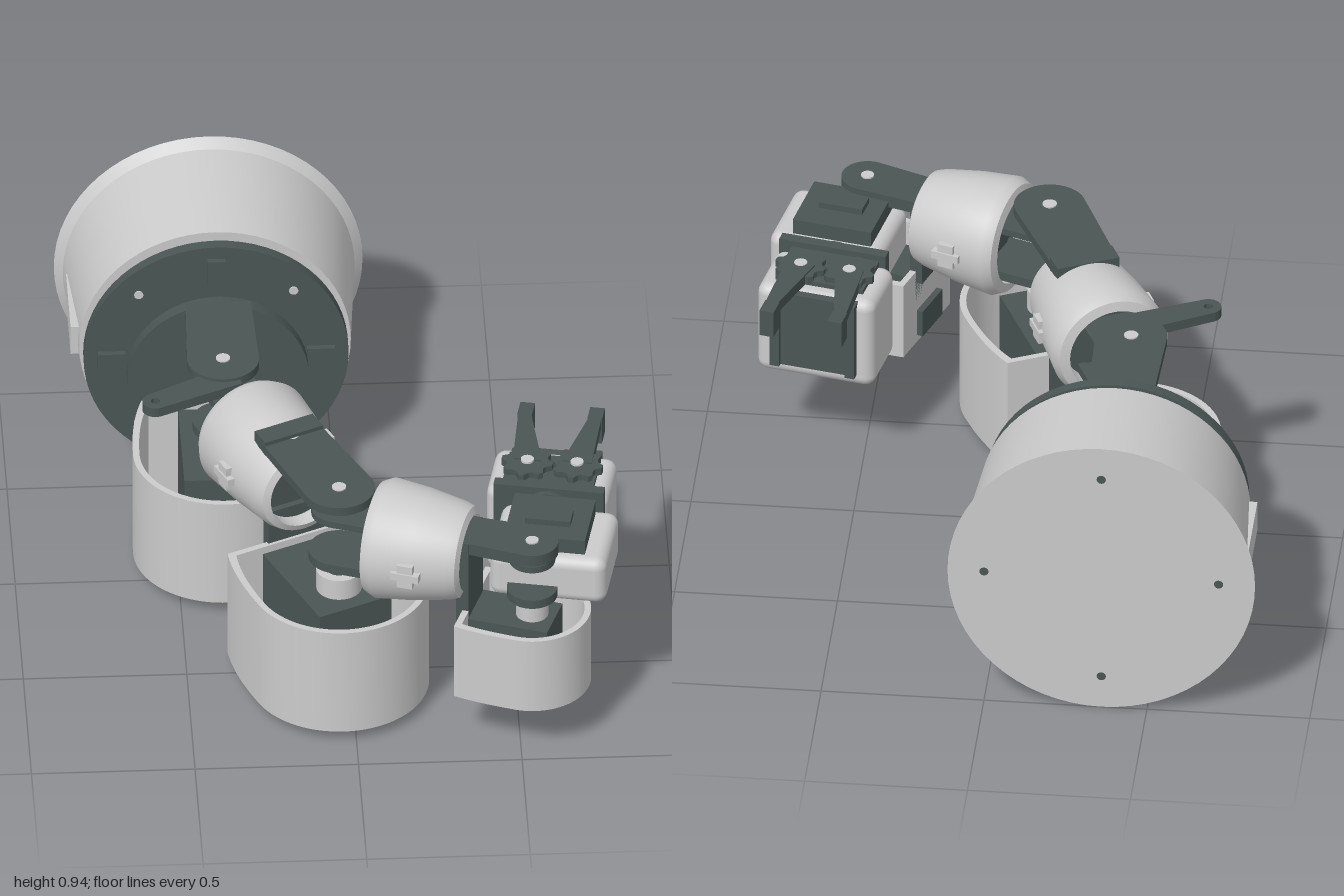
import * as THREE from 'three';
import { toCreasedNormals } from 'three/addons/utils/BufferGeometryUtils.js';
import { RoundedBoxGeometry } from 'three/addons/geometries/RoundedBoxGeometry.js';

const light = new THREE.MeshStandardMaterial({ color: 0xcccccc });
const dark = new THREE.MeshStandardMaterial({ color: 0x4a5654 });

function add(parent, name, geo, mat, x = 0, y = 0, z = 0) {
  const m = new THREE.Mesh(geo, mat);
  m.name = name;
  m.position.set(x, y, z);
  parent.add(m);
  return m;
}
const box = (p, name, mat, w, h, d, x, y, z) => add(p, name, new THREE.BoxGeometry(w, h, d), mat, x, y, z);

// upright cylinder between two heights
const post = (p, name, mat, r, y0, y1, x = 0, z = 0) =>
  add(p, name, new THREE.CylinderGeometry(r, r, y1 - y0, 40), mat, x, (y0 + y1) / 2, z);

// solid of revolution about the z axis, profile as [radius, z]
const turned = (p, name, mat, pts, x = 0, y = 0) =>
  add(p, name, toCreasedNormals(new THREE.LatheGeometry(pts.map(a => new THREE.Vector2(...a)), 64).rotateX(Math.PI / 2), 0.6), mat, x, y);

// flat shape (drawn in x, z) raised between two heights
const slab = (p, name, mat, shape, y0, y1) =>
  add(p, name, toCreasedNormals(new THREE.ExtrudeGeometry(shape, { depth: y1 - y0, bevelEnabled: false, curveSegments: 28 })
    .rotateX(Math.PI / 2).translate(0, y1, 0), 0.6), mat);

// plate running from z = z0 to a round end at the joint, side +1 or -1
function tongue(z0, w, r) {
  const s = new THREE.Shape();
  if (z0 < 0) {
    s.moveTo(-w, z0); s.lineTo(w, z0); s.lineTo(r, 0); s.absarc(0, 0, r, 0, Math.PI, false);
  } else {
    s.moveTo(w, z0); s.lineTo(-w, z0); s.lineTo(-r, 0); s.absarc(0, 0, r, Math.PI, Math.PI * 2, false);
  }
  s.closePath();
  return s;
}

// outline of a motor pot: round, with a flat toward the previous link
function potShape(r, f, w) {
  const s = new THREE.Shape();
  s.moveTo(-w, -f); s.lineTo(w, -f);
  s.quadraticCurveTo(r, -f * 0.6, r, 0);
  s.absarc(0, 0, r, 0, Math.PI, false);
  s.quadraticCurveTo(-r, -f * 0.6, -w, -f);
  return s;
}

function frame(parent, name, x, z, angle) {
  const g = new THREE.Group();
  g.name = name;
  g.position.set(x, 0, z);
  g.rotation.y = angle;
  parent.add(g);
  return g;
}

// open pot with its floor, motor and output shaft
function motorPot(g, r, f, w, y0, y1) {
  const wall = potShape(r, f, w), t = 0.02;
  wall.holes.push(potShape(r - t, f - t, w - t));
  slab(g, 'potWall', light, wall, y0, y1);
  slab(g, 'potFloor', light, potShape(r - 0.005, f - 0.005, w - 0.005), y0, y0 + 0.02);
  box(g, 'motorBody', dark, r * 0.9, y1 - y0 - 0.05, f + r * 0.4, 0, (y0 + y1) / 2, -f / 2 + r * 0.2);
}

// hollow tapered sleeve around a link, with side clips
function sleeve(g, z0, z1, r0, r1) {
  const pts = [[r0 - 0.045, z0], [r0 - 0.015, z0 + 0.008], [r0, z0 + 0.04], [(r0 + r1) / 2 + 0.006, (z0 + z1) / 2],
    [r1 + 0.003, z1 - 0.04], [r1 - 0.008, z1 - 0.01], [r1 - 0.03, z1], [r1 - 0.03, z1 - 0.04], [r0 - 0.04, z0 + 0.04], [r0 - 0.045, z0]];
  turned(g, 'sleeve', light, pts, 0, 0.605);
  const mid = (z0 + z1) / 2, rm = (r0 + r1) / 2;
  for (const s of [-1, 1]) {
    box(g, 'clip', light, 0.02, 0.08, 0.05, s * (rm + 0.008), 0.605, mid);
    box(g, 'clipBar', light, 0.03, 0.025, 0.09, s * (rm + 0.008), 0.605, mid);
  }
  turned(g, 'sleeveCore', dark, [[0, z0 + 0.07], [rm - 0.03, z0 + 0.07], [rm - 0.03, z0 + 0.1], [0, z0 + 0.1]], 0, 0.605);
}

// two plates of the driven fork that turn with the next link
function drivenFork(g, len, r, yTop, yLow) {
  slab(g, 'forkUpper', dark, tongue(len, r, r), yTop - 0.022, yTop);
  slab(g, 'forkLower', dark, tongue(len, r * 1.1, r * 1.1), yLow - 0.03, yLow);
  box(g, 'forkWeb', dark, r * 1.6, yTop - yLow + 0.03, 0.03, 0, (yTop + yLow - 0.03) / 2, len);
}

export function createModel() {
  const model = new THREE.Group();
  model.name = 'robotArm';

  // Base drum lying on its side
  const bx = -0.36, by = 0.475;
  const base = new THREE.Group();
  base.name = 'base';
  base.position.set(bx, by, 0);
  model.add(base);
  turned(base, 'drum', light, [[0, -1], [0.472, -1], [0.446, -0.968], [0.415, -0.575], [0.39, -0.575], [0.385, -0.59], [0, -0.59]]);
  turned(base, 'facePlate', dark, [[0, -0.545], [0.405, -0.545], [0.405, -0.508], [0, -0.508]]);
  turned(base, 'hub', dark, [[0, -0.575], [0.135, -0.57], [0.135, -0.535], [0.135, -0.455], [0.05, -0.455], [0.05, -0.42], [0, -0.42]]);
  turned(base, 'turntable', dark, [[0, -0.428], [0.278, -0.428], [0.278, -0.385], [0, -0.385]]);
  for (let i = 0; i < 4; i++) {
    const a = i * Math.PI / 2, b = a + Math.PI / 4;
    const rib = box(base, 'plateRib', dark, 0.085, 0.055, 0.02, Math.cos(a) * 0.32, Math.sin(a) * 0.32, -0.5);
    rib.rotation.z = a;
    const c = Math.cos(b) * 0.335, s = Math.sin(b) * 0.335;
    turned(base, 'standoff', light, [[0, -0.6], [0.038, -0.6], [0.038, -0.535], [0, -0.535]], c, s);
    turned(base, 'screw', light, [[0, -0.515], [0.014, -0.515], [0.014, -0.504], [0, -0.504]], c, s);
    turned(base, 'rearHole', dark, [[0, -1.001], [0.014, -1.001], [0.014, -0.99], [0, -0.99]], Math.cos(a) * 0.36, Math.sin(a) * 0.36);
  }
  box(base, 'port', light, 0.03, 0.1, 0.28, -0.425, 0, -0.75);
  box(base, 'lowerBracket', dark, 0.3, 0.2, 0.045, 0, -0.31, -0.395);

  // Two large joints, each with a pot, upper arm and driven fork
  const joints = [
    { x: -0.36, z: -0.09, into: 0, out: 0.432 },
    { x: -0.04, z: 0.605, into: 0.432, out: 1.225 },
  ];
  joints.forEach((j, i) => {
    const g = frame(model, 'joint' + (i + 1), j.x, j.z, j.into);
    motorPot(g, 0.275, 0.285, 0.235, 0.042, 0.41);
    post(g, 'footRing', dark, 0.232, 0.028, 0.043);
    post(g, 'foot', dark, 0.215, 0.012, 0.03);
    post(g, 'shaftCollar', light, 0.07, 0.39, 0.46);
    post(g, 'shaft', dark, 0.04, 0.46, 0.51);
    const back = i ? -0.36 : -0.3;
    slab(g, 'upperArm', dark, tongue(back, 0.1, 0.11), 0.733, 0.762);
    post(g, 'pivotPin', dark, 0.035, 0.68, 0.74);
    post(g, 'pivotScrew', light, 0.022, 0.755, 0.766);
    if (i) {
      box(g, 'armBlock', dark, 0.2, 0.3, 0.07, 0, 0.625, -0.33);
      box(g, 'potBracket', dark, 0.2, 0.25, 0.03, 0, 0.4, -0.29);
    }
    const link = frame(model, 'link' + (i + 1), j.x, j.z, j.out);
    drivenFork(link, i ? 0.19 : 0.24, 0.085, 0.69, 0.535);
    if (i) sleeve(link, 0.11, 0.42, 0.187, 0.15);
    else {
      sleeve(link, 0.16, 0.545, 0.187, 0.15);
      // side lever with a round, drilled end
      const s = new THREE.Shape();
      s.moveTo(0, 0.13); s.lineTo(-0.28, 0.13);
      s.absarc(-0.28, 0.09, 0.04, Math.PI / 2, Math.PI * 1.5, false);
      s.lineTo(0, 0.03);
      s.holes.push(new THREE.Path().absarc(-0.28, 0.09, 0.014, 0, Math.PI * 2, true));
      slab(link, 'sideLever', dark, s, 0.72, 0.752);
    }
  });

  // Small wrist joint
  const w = frame(model, 'wristJoint', 0.54, 0.815, 1.225);
  motorPot(w, 0.18, 0.2, 0.165, 0.18, 0.44);
  slab(w, 'upperArm', dark, tongue(-0.24, 0.07, 0.08), 0.65, 0.69);
  box(w, 'armBracket', dark, 0.15, 0.29, 0.04, 0, 0.545, -0.2);
  box(w, 'potBracket', dark, 0.14, 0.09, 0.03, 0, 0.25, -0.205);
  post(w, 'shaft', light, 0.05, 0.42, 0.48);
  post(w, 'pivotPin', dark, 0.04, 0.61, 0.66);
  post(w, 'pivotScrew', light, 0.02, 0.685, 0.695);
  for (const s of [-1, 1]) box(w, 'footPad', light, 0.07, 0.02, 0.05, s * 0.075, 0.176, 0.02);

  // Hand: wrist motor, flange, gripper motor and jaws
  const h = frame(model, 'hand', 0.54, 0.815, 2.94);
  drivenFork(h, 0.1, 0.07, 0.64, 0.52);
  add(h, 'wristShell', new RoundedBoxGeometry(0.36, 0.16, 0.29, 4, 0.035), light, -0.045, 0.54, 0.155);
  box(h, 'wristMotor', dark, 0.25, 0.07, 0.22, -0.03, 0.635, 0.16);
  box(h, 'wristMotorCap', dark, 0.14, 0.03, 0.07, -0.03, 0.675, 0.15);
  turned(h, 'wristShaft', dark, [[0, 0.28], [0.05, 0.28], [0.05, 0.31], [0.075, 0.31], [0.075, 0.335], [0, 0.335]], 0, 0.57);
  box(h, 'gripperFlange', dark, 0.34, 0.16, 0.035, 0, 0.575, 0.345);
  add(h, 'gripperShell', new RoundedBoxGeometry(0.375, 0.31, 0.23, 4, 0.035), light, 0.01, 0.465, 0.465);
  box(h, 'gripperMotor', dark, 0.27, 0.26, 0.03, 0.01, 0.485, 0.575);
  box(h, 'gripperDeck', dark, 0.28, 0.03, 0.18, 0.01, 0.62, 0.44);
  for (const s of [-1, 1]) box(h, 'motorRail', dark, 0.03, 0.26, 0.03, 0.01 + s * 0.12, 0.485, 0.59);

  // Meshing gears, each with a tapering jaw
  const jaws = [[0.086, 0.465, 0.13, 0.75], [-0.066, 0.475, -0.085, 0.755]];
  for (const [x0, z0, x1, z1] of jaws) {
    const gear = new THREE.Shape();
    for (let k = 0; k < 32; k++) {
      const r = k % 4 < 2 ? 0.08 : 0.065, a = k * Math.PI / 16;
      gear[k ? 'lineTo' : 'moveTo'](x0 + r * Math.cos(a), z0 + r * Math.sin(a));
    }
    slab(h, 'gear', dark, gear, 0.63, 0.655);
    post(h, 'gearScrew', light, 0.02, 0.65, 0.662, x0, z0);
    const jaw = new THREE.Shape();
    jaw.moveTo(x0 - 0.045, z0); jaw.lineTo(x0 + 0.045, z0);
    jaw.lineTo(x1 + 0.02, z1 - 0.05); jaw.lineTo(x1 + 0.02, z1);
    jaw.lineTo(x1 - 0.02, z1); jaw.lineTo(x1 - 0.02, z1 - 0.05);
    slab(h, 'jaw', dark, jaw, 0.625, 0.66);
    box(h, 'jawTip', dark, 0.045, 0.09, 0.06, x1, 0.615, z1 - 0.02);
  }
  return model;
}
